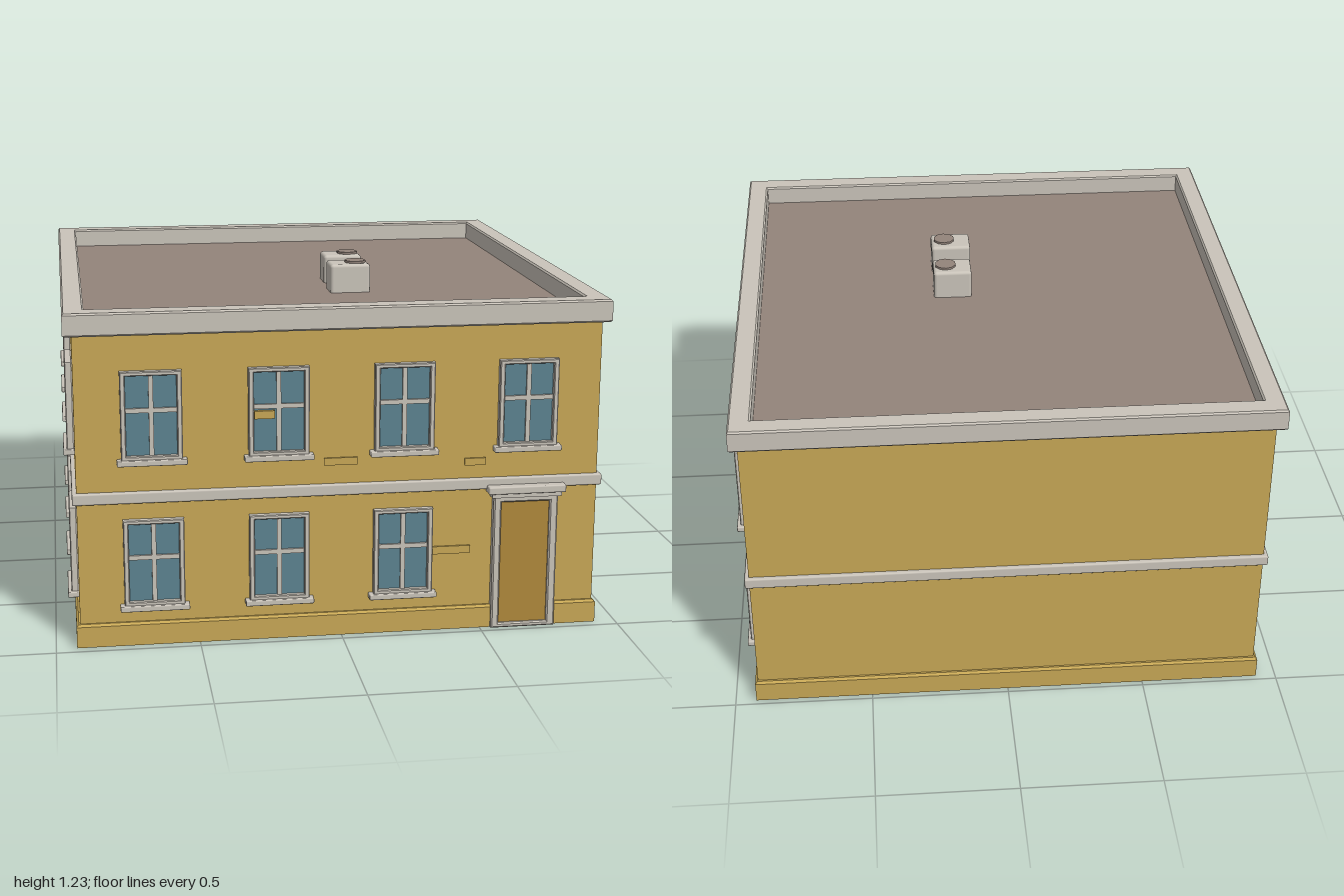
import * as THREE from 'three';
import { RoundedBoxGeometry } from 'three/addons/geometries/RoundedBoxGeometry.js';

const material = (name, color) => {
  const m = new THREE.MeshStandardMaterial({ color });
  m.name = name;
  return m;
};

export function createModel() {
  const wall = material('ochre plaster', 0xc8a856);
  const trim = material('pale stone', 0xcac4ba);
  const glass = material('blue glass', 0x5c8390);
  const wood = material('door wood', 0xb0893c);
  const roofing = material('brown roofing', 0x93847b);

  const building = new THREE.Group();
  building.name = 'building';

  const add = (parent, name, geometry, mat) => {
    const mesh = new THREE.Mesh(geometry, mat);
    mesh.name = name;
    parent.add(mesh);
    return mesh;
  };

  // Box given by its lower and upper limits on each axis
  const block = (parent, name, mat, [x0, x1], [y0, y1], [z0, z1], round = 0) => {
    const size = [x1 - x0, y1 - y0, z1 - z0];
    const geometry = round
      ? new RoundedBoxGeometry(...size, 2, round)
      : new THREE.BoxGeometry(...size);
    geometry.translate((x0 + x1) / 2, (y0 + y1) / 2, (z0 + z1) / 2);
    return add(parent, name, geometry, mat);
  };

  const rectangle = (Type, x0, x1, y0, y1) => new Type([
    new THREE.Vector2(x0, y0), new THREE.Vector2(x1, y0),
    new THREE.Vector2(x1, y1), new THREE.Vector2(x0, y1),
  ]);

  // Rectangular ring with softly bevelled edges, extruded along +z from 0
  const ring = (outer, inner, depth, bevel) => {
    const shape = rectangle(THREE.Shape, ...outer);
    shape.holes.push(rectangle(THREE.Path, ...inner));
    return new THREE.ExtrudeGeometry(shape, {
      depth: depth - 2 * bevel, bevelEnabled: true, bevelSegments: 1,
      bevelSize: bevel, bevelOffset: -bevel, bevelThickness: bevel,
    }).translate(0, 0, bevel);
  };

  // Main volume
  block(building, 'walls', wall, [-0.915, 0.915], [0.04, 1.105], [-0.965, 0.95]);
  block(building, 'plinth', wall, [-0.928, 0.925], [0, 0.075], [-0.98, 0.965]);
  const plinthSlope = ring([-0.928, 0.925, -0.965, 0.98], [-0.9, 0.9, -0.93, 0.95], 0.02, 0.008);
  plinthSlope.rotateX(-Math.PI / 2).translate(0, 0.063, 0);
  add(building, 'plinthEdge', plinthSlope, wall);
  block(building, 'stringCourse', trim, [-0.93, 0.93], [0.515, 0.555], [-0.98, 0.967], 0.006);

  // Flat roof behind the parapet
  block(building, 'roof', roofing, [-0.88, 0.88], [1.1, 1.112], [-0.935, 0.905]);
  const parapet = ring([-0.945, 0.943, -0.975, 1.0], [-0.87, 0.866, -0.895, 0.923], 0.08, 0.006);
  parapet.rotateX(-Math.PI / 2).translate(0, 1.102, 0);
  add(building, 'parapet', parapet, trim);

  // Rooftop vents
  const vents = [
    { x: [0.063, 0.207], z: [0.008, 0.127], cap: [0.16, 0.07] },
    { x: [0.055, 0.205], z: [0.22, 0.342], cap: [0.155, 0.285] },
  ];
  for (const { x, z, cap } of vents) {
    const vent = new THREE.Group();
    vent.name = 'roofVent';
    block(vent, 'ventBox', trim, x, [1.1, 1.218], z, 0.012);
    const disc = new THREE.CylinderGeometry(0.04, 0.04, 0.016, 10);
    add(vent, 'ventCap', disc.translate(cap[0], 1.218, cap[1]), roofing);
    building.add(vent);
  }

  // Window around its own centre, with the wall surface at z = 0
  const frameGeometry = ring([-0.105, 0.105, -0.155, 0.155], [-0.087, 0.087, -0.14, 0.14], 0.026, 0.003);
  const makeWindow = () => {
    const win = new THREE.Group();
    win.name = 'window';
    add(win, 'windowFrame', frameGeometry, trim);
    block(win, 'windowGlass', glass, [-0.09, 0.09], [-0.145, 0.145], [0.001, 0.008]);
    block(win, 'mullion', trim, [-0.008, 0.008], [-0.145, 0.145], [0.001, 0.016]);
    block(win, 'transom', trim, [-0.09, 0.09], [0.01, 0.026], [0.001, 0.016]);
    block(win, 'windowSill', trim, [-0.12, 0.12], [-0.172, -0.152], [0, 0.038], 0.004);
    return win;
  };

  const floors = [0.302, 0.824];
  for (const y of floors) {
    for (const x of [-0.655, -0.22, 0.217, 0.655]) {
      if (y < 0.5 && x > 0.5) continue; // the door stands here
      const win = makeWindow();
      win.position.set(x, y, 0.95);
      building.add(win);
    }
    for (const side of [-1, 1]) {
      for (const z of [0.692, 0.225, -0.24, -0.707]) {
        const win = makeWindow();
        win.position.set(side * 0.915, y, z);
        win.rotation.y = side * Math.PI / 2;
        building.add(win);
      }
    }
  }

  // Entrance door with surround and canopy
  const door = new THREE.Group();
  door.name = 'entrance';
  const surround = ring([0.538, 0.77, 0, 0.495], [0.566, 0.74, 0.018, 0.468], 0.04, 0.005);
  add(door, 'doorSurround', surround.translate(0, 0, 0.94), trim);
  block(door, 'doorLeaf', wood, [0.56, 0.745], [0.012, 0.472], [0.94, 0.968]);
  block(door, 'doorHead', trim, [0.53, 0.78], [0.487, 0.507], [0.94, 0.988]);
  block(door, 'doorCanopy', trim, [0.515, 0.793], [0.503, 0.53], [0.94, 1.0], 0.005);
  building.add(door);

  // Exposed bricks standing slightly proud of the plaster: [from, to, bottom, top]
  const frontBricks = [
    [0.32, 0.46, 0.28, 0.308], [0.435, 0.51, 0.602, 0.628], [-0.062, 0.055, 0.622, 0.648],
  ];
  for (const [a, b, y0, y1] of frontBricks) {
    block(building, 'frontBrick', wall, [a, b], [y0, y1], [0.94, 0.957]);
  }
  block(building, 'windowBrick', wall, [-0.305, -0.235], [0.8, 0.828], [0.94, 0.972]);
  for (const [a, b, y0, y1] of [[0.345, 0.465, 0.768, 0.792], [0.385, 0.465, 0.303, 0.328]]) {
    block(building, 'sideBrick', wall, [0.9, 0.922], [y0, y1], [a, b]);
  }
  block(building, 'sideBrick', wall, [-0.922, -0.9], [0.3, 0.327], [-0.06, 0.07]);

  return building;
}
